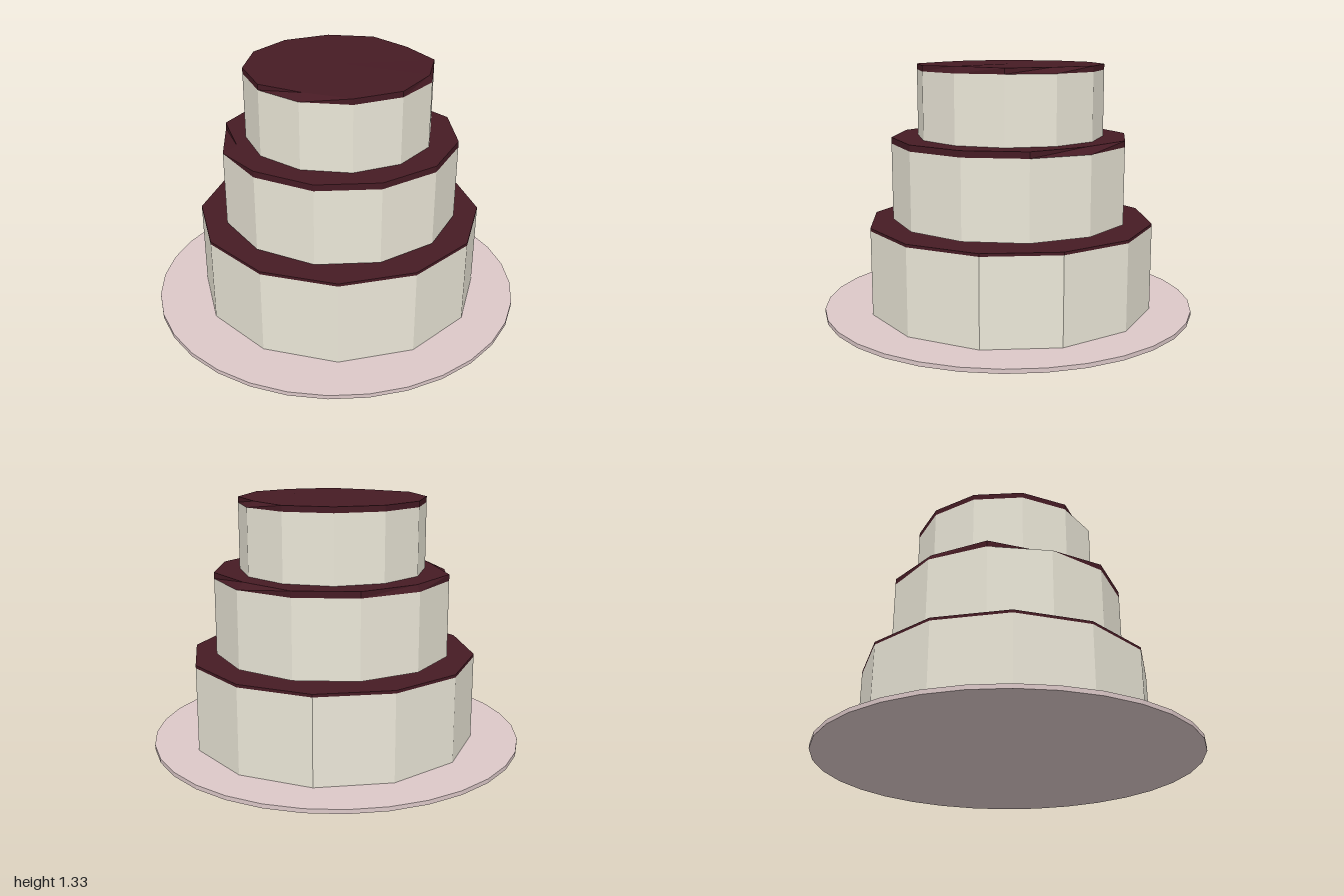
import * as THREE from 'three';

const cream = new THREE.MeshStandardMaterial({ color: 0xebe7d8, flatShading: true });
const icing = new THREE.MeshStandardMaterial({ color: 0x461b24, flatShading: true });
const pink = new THREE.MeshStandardMaterial({ color: 0xdcc8c8, flatShading: true });

// Upright prism between heights y0 and y1; turn is the angle of its first corner from +x towards +z
function prism(name, material, radius, y0, y1, sides, turn) {
  const geometry = new THREE.CylinderGeometry(radius, radius, y1 - y0, sides);
  geometry.rotateY(-THREE.MathUtils.degToRad(turn));
  geometry.translate(0, (y0 + y1) / 2, 0);
  const mesh = new THREE.Mesh(geometry, material);
  mesh.name = name;
  return mesh;
}

// Pull single upper corners inwards: dents are [corner number, radial scale, lift]
function dent(geometry, turn, dents) {
  geometry.computeBoundingBox();
  const top = geometry.boundingBox.max.y;
  const p = geometry.attributes.position;
  for (let i = 0; i < p.count; i++) {
    const x = p.getX(i), z = p.getZ(i);
    if (p.getY(i) < top - 0.001 || Math.hypot(x, z) < 0.01) continue;
    const angle = THREE.MathUtils.radToDeg(Math.atan2(z, x)) - turn;
    const corner = (Math.round(angle / 30) + 24) % 12;
    const hit = dents.find(d => d[0] === corner);
    if (hit) p.setXYZ(i, x * hit[1], top + hit[2], z * hit[1]);
  }
  geometry.computeVertexNormals();
}

export function createModel() {
  const cake = new THREE.Group();
  cake.name = 'tieredCake';

  cake.add(prism('plate', pink, 1, 0, 0.022, 32, -1.8));

  // Three tiers, each a cream body with a thin icing slab
  const tiers = [
    { name: 'bottomTier', r: 0.766, y: [0.022, 0.475, 0.49], turn: -7.2, dents: [] },
    { name: 'middleTier', r: 0.632, y: [0.505, 0.912, 0.945], turn: 3.6,
      dents: [[4, 0.88, 0], [6, 0.97, 0], [9, 0.93, 0]] },
    { name: 'topTier', r: 0.497, y: [0.945, 1.296, 1.326], turn: 15,
      dents: [[2, 0.9, 0], [9, 0.92, 0], [11, 0.97, 0.005]] },
  ];
  for (const { name, r, y, turn, dents } of tiers) {
    const tier = new THREE.Group();
    tier.name = name;
    const body = prism(name + 'Body', cream, r, y[0], y[1], 12, turn);
    const slab = prism(name + 'Icing', icing, r, y[1], y[2], 12, turn);
    dent(slab.geometry, turn, dents);
    tier.add(body, slab);
    tier.position.set(0.005, 0, -0.022);
    cake.add(tier);
  }
  return cake;
}
